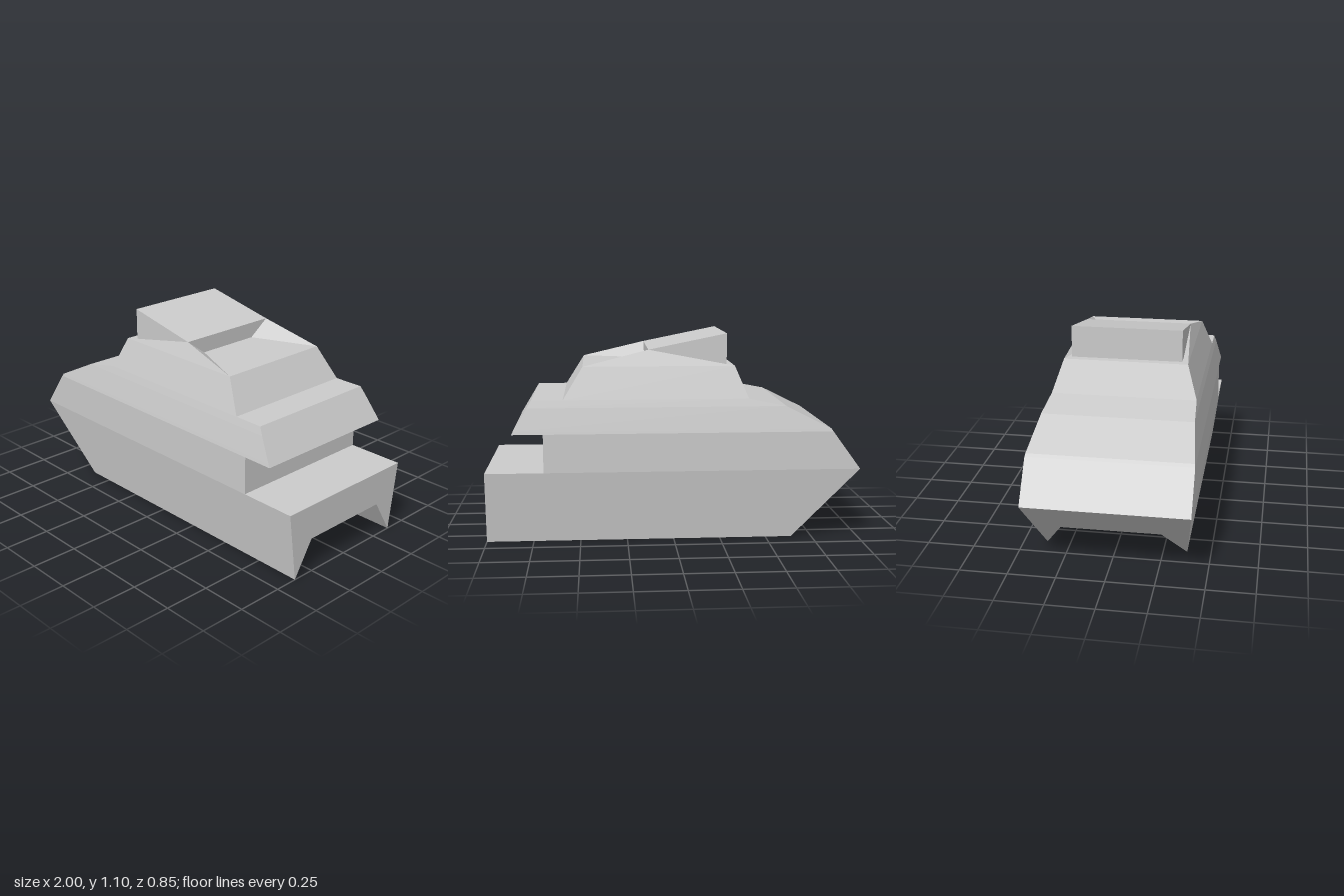
import * as THREE from 'three';
import { ConvexGeometry } from 'three/addons/geometries/ConvexGeometry.js';

const material = new THREE.MeshStandardMaterial({ color: 0xcccccc, flatShading: true });

function addMesh(parent, name, geometry) {
  const mesh = new THREE.Mesh(geometry, material);
  mesh.name = name;
  parent.add(mesh);
}

// Flat-faced geometry from convex polygons given as lists of corners
function polygons(faces) {
  const pos = [];
  for (const f of faces) {
    for (let i = 1; i < f.length - 1; i++) pos.push(...f[0], ...f[i], ...f[i + 1]);
  }
  const g = new THREE.BufferGeometry();
  g.setAttribute('position', new THREE.Float32BufferAttribute(pos, 3));
  g.computeVertexNormals();
  return g;
}

// Skin over rectangular levels [y, bow x, stern x, half width]; equal heights make a step
function levelsSkin(levels, capped) {
  const rings = levels.map(([y, a, b, w]) => [[b, y, w], [b, y, -w], [a, y, -w], [a, y, w]]);
  const same = (p, q) => p.every((v, i) => v === q[i]);
  const faces = [];
  for (let k = 0; k < rings.length - 1; k++) {
    const lo = rings[k], hi = rings[k + 1];
    for (let i = 0; i < 4; i++) {
      const j = (i + 1) % 4;
      if (same(lo[i], hi[i]) || same(lo[j], hi[j])) continue;
      faces.push([lo[i], lo[j], hi[j], hi[i]]);
    }
  }
  if (capped) faces.push(rings[rings.length - 1]);
  return polygons(faces);
}

// Twin keels with a tunnel between them and a raked bow
function lowerHull() {
  const section = [[0.425, 0.38], [0.375, 0], [0.26, 0.19], [-0.26, 0.19], [-0.375, 0], [-0.425, 0.38]];
  const bow = section.map(([z, y]) => [-1 + (0.38 - y) * (0.36 / 0.38), y, z]);
  const stern = section.map(([z, y]) => [1, y, z]);
  const faces = [];
  for (let i = 0; i < 5; i++) faces.push([bow[i], bow[i + 1], stern[i + 1], stern[i]]);
  for (const ids of [[0, 1, 2], [0, 2, 3, 5], [5, 3, 4]]) {
    faces.push(ids.map((i) => stern[i]));
    faces.push(ids.map((i) => bow[i]).reverse());
  }
  return polygons(faces);
}

export function createModel() {
  const boat = new THREE.Group();
  boat.name = 'boat';

  addMesh(boat, 'lowerHull', lowerHull());

  // Upper hull with the low stern platform
  addMesh(boat, 'upperHull', levelsSkin([
    [0.38, -1, 1, 0.425],
    [0.38, -1, 0.69, 0.425],
    [0.585, -0.85, 0.69, 0.425],
  ], false));

  // Foredeck, overhanging aft deck and cabin
  addMesh(boat, 'cabin', levelsSkin([
    [0.585, -0.85, 0.69, 0.425],
    [0.585, -0.85, 0.855, 0.425],
    [0.6, -0.84, 0.846, 0.422],
    [0.72, -0.6, 0.774, 0.396],
    [0.76, -0.4, 0.75, 0.385],
    [0.76, -0.4, 0.585, 0.385],
    [0.93, -0.33, 0.48, 0.33],
  ], true));

  // Wedge-shaped roof, highest toward the bow
  const side = new THREE.Shape([[-0.29, 0.93], [0.13, 0.93], [0.13, 1.015], [-0.29, 1.1]]
    .map(([x, y]) => new THREE.Vector2(x, y)));
  const roof = new THREE.ExtrudeGeometry(side, { depth: 0.59, bevelEnabled: false });
  roof.translate(0, 0, -0.295);
  addMesh(boat, 'roof', roof);

  // Sloped bulwarks flanking the sunken deck behind the roof
  for (const s of [1, -1]) {
    const corners = [[-0.33, 0.93, 0.33], [0.48, 0.93, 0.33], [0.13, 1.015, 0.295], [0.13, 0.93, 0.18]];
    addMesh(boat, s > 0 ? 'frontBulwark' : 'backBulwark',
      new ConvexGeometry(corners.map(([x, y, z]) => new THREE.Vector3(x, y, s * z))));
  }
  return boat;
}
